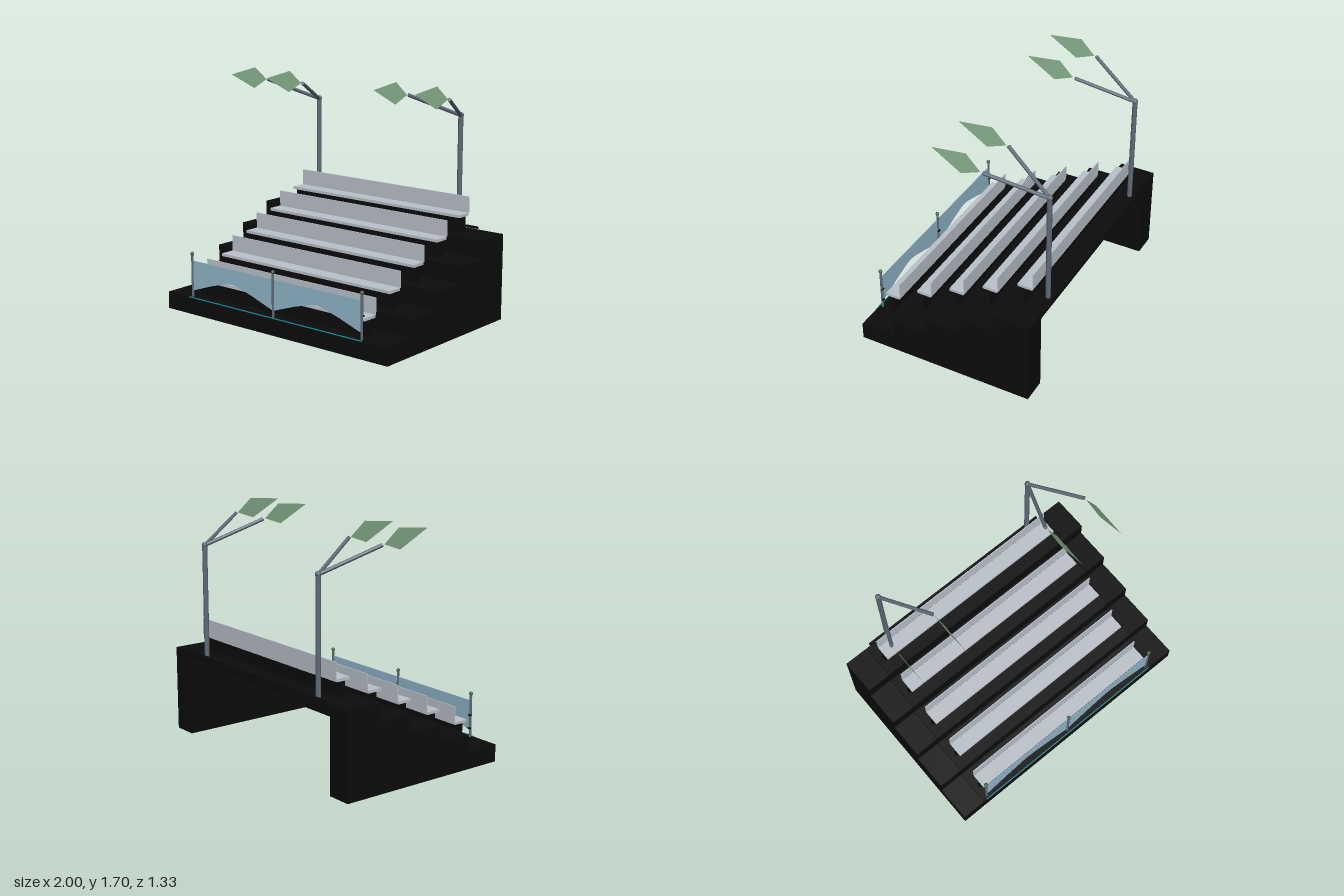
import * as THREE from 'three';

const mat = (name, color, side = THREE.FrontSide) => {
  const m = new THREE.MeshStandardMaterial({ color, side });
  m.name = name;
  return m;
};

export function createModel() {
  const black = mat('black', 0x0c0c0c);
  const grey = mat('seatGrey', 0xbcc2cb);
  const glass = mat('glassBlue', 0x90b6ca, THREE.DoubleSide);
  const steel = mat('steel', 0x5f6b78);
  const leaf = mat('panelGreen', 0x86ad8b, THREE.DoubleSide);
  const cap = mat('capGreen', 0x46654f);
  const teal = mat('teal', 0x12929a);

  const model = new THREE.Group();
  model.name = 'grandstand';

  const add = (name, geo, material, x = 0, y = 0, z = 0) => {
    const mesh = new THREE.Mesh(geo, material);
    mesh.name = name;
    mesh.position.set(x, y, z);
    model.add(mesh);
    return mesh;
  };
  // box given by its limits on each axis
  const box = (name, material, x0, x1, y0, y1, z0, z1) =>
    add(name, new THREE.BoxGeometry(x1 - x0, y1 - y0, z1 - z0), material,
      (x0 + x1) / 2, (y0 + y1) / 2, (z0 + z1) / 2);
  // round bar between two points
  const bar = (name, material, a, b, r, sides = 10) => {
    const dir = b.clone().sub(a);
    const mesh = add(name, new THREE.CylinderGeometry(r, r, dir.length(), sides), material);
    mesh.position.copy(a).add(b).multiplyScalar(0.5);
    mesh.quaternion.setFromUnitVectors(new THREE.Vector3(0, 1, 0), dir.normalize());
    return mesh;
  };
  const v = (x, y, z) => new THREE.Vector3(x, y, z);

  const STEPS = 5, RISE = 0.124, RUN = 0.2625, FRONT = 0.662, BACK = -0.65;

  // stepped side blocks, profile drawn along z and extruded along x
  const profile = new THREE.Shape();
  profile.moveTo(BACK, 0);
  profile.lineTo(FRONT, 0);
  for (let i = 0; i < STEPS; i++) {
    profile.lineTo(FRONT - i * RUN, (i + 1) * RISE);
    profile.lineTo(FRONT - (i + 1) * RUN, (i + 1) * RISE);
  }
  profile.closePath();
  const blockGeo = new THREE.ExtrudeGeometry(profile, { depth: 0.18, bevelEnabled: false });
  blockGeo.rotateY(-Math.PI / 2); // z of the profile stays z, depth runs to -x
  add('leftSideBlock', blockGeo, black, 1, 0, 0);
  add('rightSideBlock', blockGeo, black, -0.82, 0, 0);

  // middle tiers: solid first step, then thin treads and risers open underneath
  const W = 0.817;
  for (let i = 0; i < STEPS; i++) {
    const top = (i + 1) * RISE, z1 = FRONT - i * RUN, z0 = z1 - RUN;
    if (i === 0) {
      box('firstStep', black, -W, W, 0, top, z0, z1);
    } else {
      box('tread', black, -W, W, top - 0.045, top, z0, z1);
      box('riser', black, -W, W, top - RISE - 0.045, top - 0.045, z1 - 0.045, z1);
    }

    // bench: support plank, seat board and thin backrest
    const zc = 0.549 - i * RUN;
    box('benchSupport', black, -0.775, 0.775, top, top + 0.115, zc - 0.01, zc + 0.01);
    box('benchSeat', grey, -0.77, 0.77, top + 0.115, top + 0.135, zc - 0.055, zc + 0.055);
    box('benchBack', grey, -0.77, 0.77, top + 0.133, top + 0.25, zc - 0.063, zc - 0.056);
  }

  // coloured strip along the front edge and rail along the back edge
  box('frontStrip', teal, -0.79, 0.79, RISE - 0.003, RISE + 0.003, FRONT - 0.004, FRONT + 0.003);
  box('backRail', black, -0.785, 0.785, 0.622, 0.637, -0.665, -0.65);

  // front railing posts with ball caps and glass clips
  for (const x of [-0.772, 0, 0.772]) {
    bar('railPost', steel, v(x, RISE, 0.638), v(x, 0.425, 0.638), 0.009);
    add('railCap', new THREE.SphereGeometry(0.014, 12, 8), cap, x, 0.44, 0.638);
    for (const y of [0.19, 0.285]) {
      box('glassClip', black, x - 0.012, x + 0.012, y - 0.005, y + 0.005, 0.624, 0.634);
    }
  }

  // glass panels with a peaked lower edge
  const pane = new THREE.Shape();
  [[-0.375, 0.39], [-0.375, 0.172], [-0.19, 0.236], [-0.05, 0.275], [0, 0.281],
    [0.05, 0.275], [0.19, 0.236], [0.375, 0.172], [0.375, 0.39]]
    .forEach(([x, y], i) => (i ? pane.lineTo(x, y) : pane.moveTo(x, y)));
  const paneGeo = new THREE.ExtrudeGeometry(pane, { depth: 0.004, bevelEnabled: false });
  for (const x of [-0.387, 0.387]) add('glassPanel', paneGeo, glass, x, 0, 0.636);

  // leaf panel: a slightly leaning four-sided sheet
  const sheet = new THREE.Shape();
  [[0.15, 1.667], [-0.1, 1.695], [-0.21, 1.597], [-0.07, 1.546]]
    .forEach(([z, y], i) => (i ? sheet.lineTo(z, y) : sheet.moveTo(z, y)));
  const leafGeo = new THREE.ShapeGeometry(sheet);
  leafGeo.rotateY(-Math.PI / 2);
  const p = leafGeo.attributes.position;
  for (let i = 0; i < p.count; i++) p.setX(i, -(p.getY(i) - 1.6) * 0.12);
  leafGeo.computeVertexNormals();

  // two masts, each with a pair of forward arms carrying leaf panels
  for (const x of [-0.65, 0.65]) {
    const joint = v(x, 1.425, -0.612);
    bar('mast', steel, v(x, 0.62, -0.612), joint, 0.018, 12);
    add('mastJoint', new THREE.SphereGeometry(0.021, 12, 8), steel, x, 1.428, -0.612);
    for (const s of [-1, 1]) {
      const tipX = x + s * 0.17;
      bar('mastArm', steel, joint, v(tipX, 1.595, -0.225), 0.013);
      add('leafPanel', leafGeo, leaf, tipX, 0, 0);
    }
  }
  return model;
}
